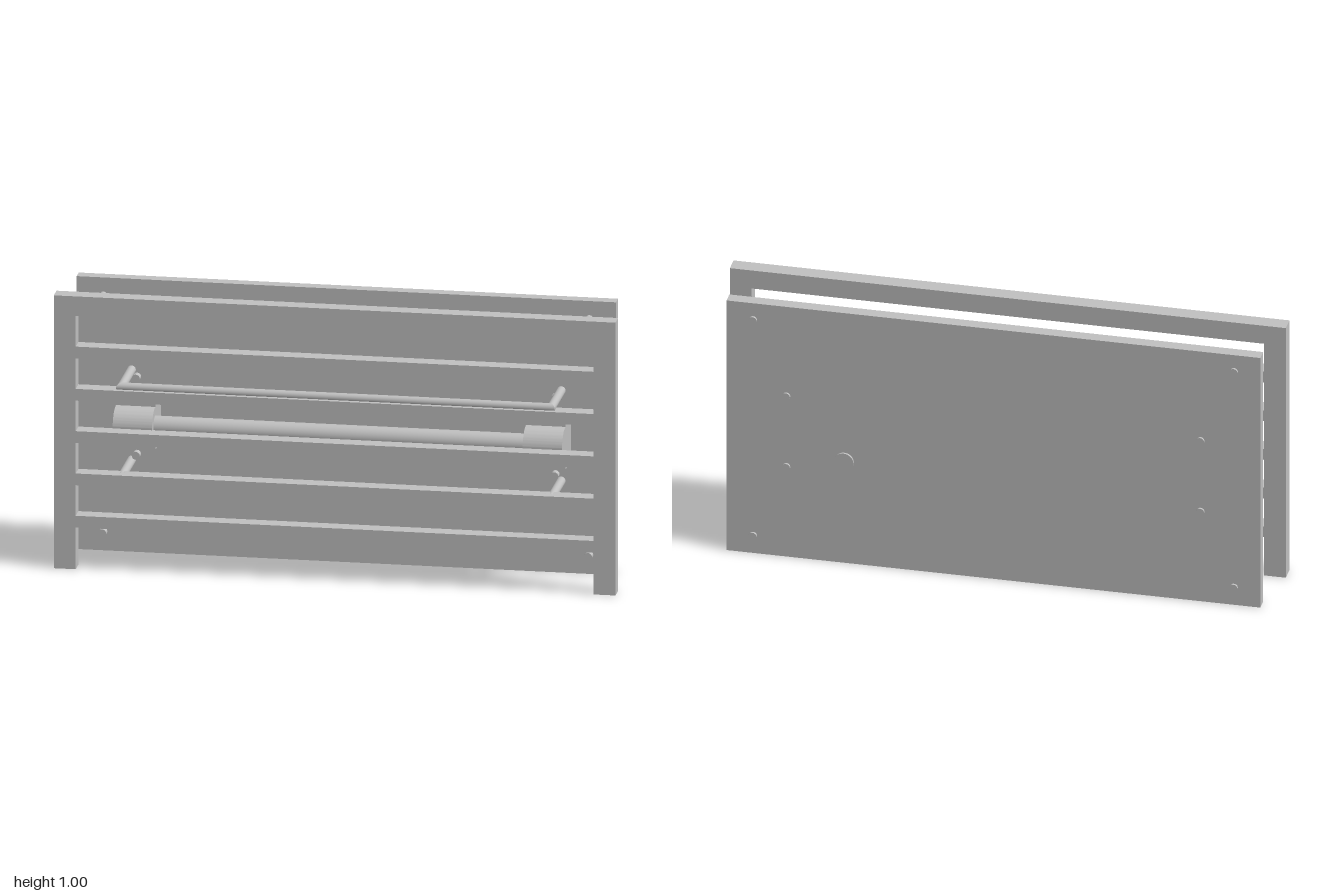
import * as THREE from 'three';
import { toCreasedNormals } from 'three/addons/utils/BufferGeometryUtils.js';

export function createModel() {
  const model = new THREE.Group();
  const grey = new THREE.MeshStandardMaterial({ color: 0xc0c0c0 });
  grey.name = 'grey';

  function add(name, geometry, x = 0, y = 0, z = 0, parent = model) {
    const mesh = new THREE.Mesh(geometry, grey);
    mesh.name = name;
    mesh.position.set(x, y, z);
    parent.add(mesh);
    return mesh;
  }

  // Slatted front frame: five slots and an open gap between the feet
  const frame = new THREE.Shape([
    [-1, 0], [-0.922, 0], [-0.922, 0.153], [0.922, 0.153],
    [0.922, 0], [1, 0], [1, 1], [-1, 1],
  ].map(([x, y]) => new THREE.Vector2(x, y)));
  for (let i = 0; i < 5; i++) {
    const low = 0.196 + i * 0.155, high = low + 0.112;
    frame.holes.push(new THREE.Path([
      new THREE.Vector2(-0.922, low), new THREE.Vector2(-0.922, high),
      new THREE.Vector2(0.922, high), new THREE.Vector2(0.922, low),
    ]));
  }
  add('frontFrame', new THREE.ExtrudeGeometry(frame, { depth: 0.058, bevelEnabled: false }), 0, 0, 0.092);

  // Back panel
  add('backPanel', new THREE.BoxGeometry(1.92, 1, 0.045), 0, 0.5, -0.1175);

  // Pegs through the panel, at the corners and near the guard rods
  const pegGeometry = new THREE.CylinderGeometry(0.0145, 0.0145, 0.08, 24).rotateX(Math.PI / 2);
  for (const side of [-1, 1]) {
    for (const [x, y] of [[0.865, 0.07], [0.865, 0.934], [0.745, 0.36], [0.745, 0.643]]) {
      add('peg', pegGeometry, side * x, y, -0.108);
    }
  }

  // Round button on the back
  add('backButton', new THREE.CylinderGeometry(0.035, 0.035, 0.01, 32).rotateX(Math.PI / 2), 0.537, 0.406, -0.143);

  // Tube and its two round-nosed holders
  add('tube', new THREE.CylinderGeometry(0.037, 0.037, 1.34, 32).rotateZ(Math.PI / 2), 0, 0.502, 0.027);
  const profile = new THREE.Shape();
  profile.moveTo(-0.095, -0.089);
  profile.lineTo(0.02, -0.089);
  profile.lineTo(0.02, -0.0675);
  profile.lineTo(0.027, -0.0675);
  profile.absarc(0.027, 0, 0.0675, -Math.PI / 2, Math.PI / 2, false);
  profile.lineTo(0.02, 0.0675);
  profile.lineTo(0.02, 0.089);
  profile.lineTo(-0.095, 0.089);
  const holder = toCreasedNormals(
    new THREE.ExtrudeGeometry(profile, { depth: 0.14, bevelEnabled: false, curveSegments: 24 })
      .translate(0, 0, -0.07).rotateY(-Math.PI / 2), 0.6);
  for (const side of [-1, 1]) add('tubeHolder', holder, side * 0.73, 0.502, 0);

  // U-shaped guard rods with mitred corners
  const r = 0.016, rodX = 0.765, rodZ = 0.118, backZ = -0.1;
  for (const y of [0.336, 0.667]) {
    const rod = new THREE.Group();
    rod.name = 'guardRod';
    model.add(rod);

    const bar = new THREE.CylinderGeometry(r, r, 2 * rodX, 20, 1, true).rotateZ(Math.PI / 2);
    const p = bar.attributes.position;
    for (let i = 0; i < p.count; i++) p.setX(i, p.getX(i) + Math.sign(p.getX(i)) * p.getZ(i));
    add('guardBar', bar, 0, y, rodZ, rod);

    for (const side of [-1, 1]) {
      const length = rodZ - backZ;
      const leg = new THREE.CylinderGeometry(r, r, length, 20, 1, true).rotateX(Math.PI / 2);
      const q = leg.attributes.position;
      for (let i = 0; i < q.count; i++) {
        if (q.getZ(i) > 0) q.setZ(i, q.getZ(i) + side * q.getX(i));
      }
      add('guardLeg', leg, side * rodX, y, (rodZ + backZ) / 2, rod);
    }
  }
  return model;
}
